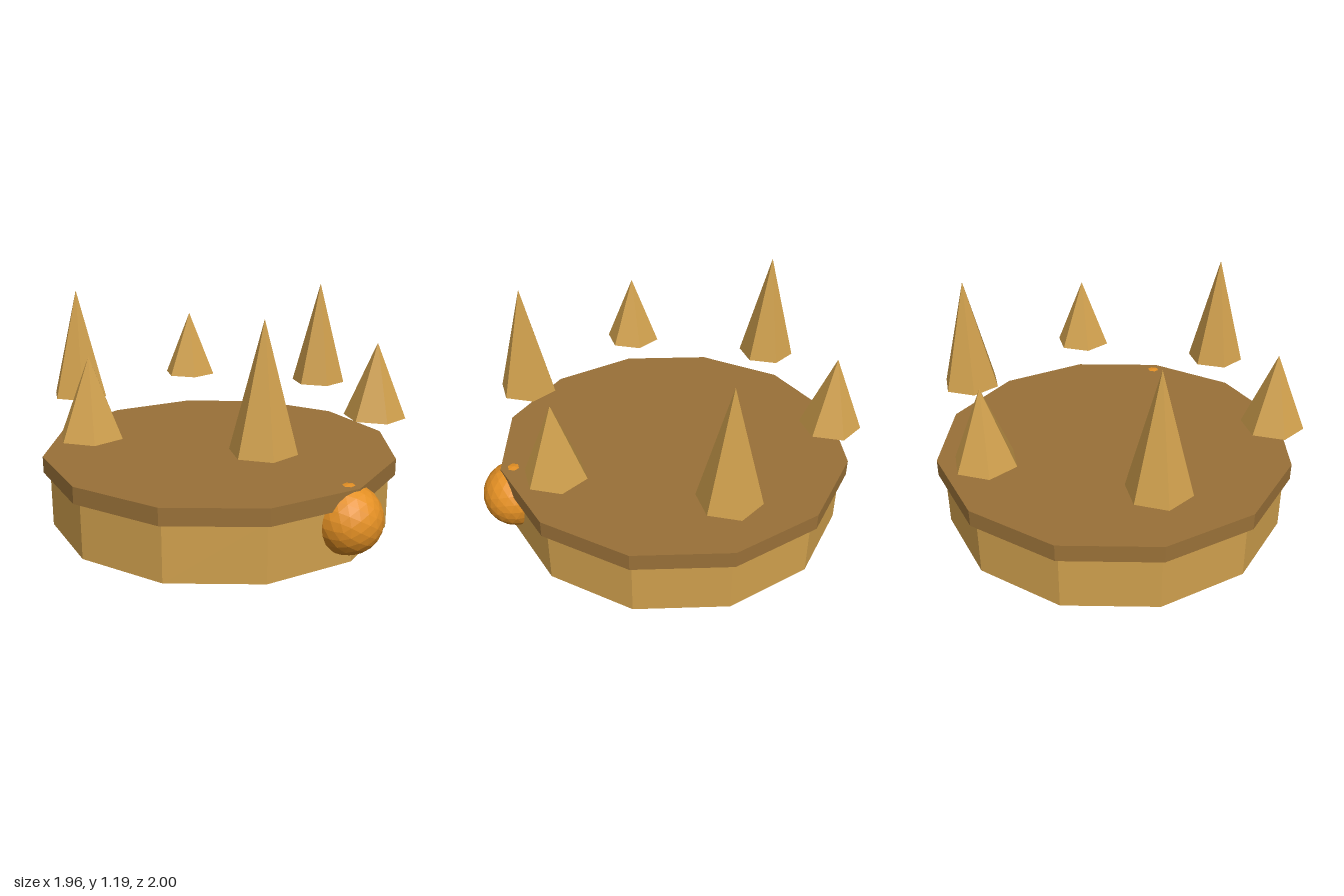
import * as THREE from 'three';

const CENTRE_Z = -0.054;

function material(name, color) {
  const m = new THREE.MeshStandardMaterial({ color, flatShading: true });
  m.name = name;
  return m;
}

export function createModel() {
  const model = new THREE.Group();
  model.name = 'crown';
  const gold = material('gold', 0xd0a04d);
  const bronze = material('bronze', 0x9a7138);
  const amber = material('amber', 0xe49024);

  function add(name, geometry, mat, x, y, z) {
    const mesh = new THREE.Mesh(geometry, mat);
    mesh.name = name;
    mesh.position.set(x, y, z);
    model.add(mesh);
    return mesh;
  }

  // Twelve-sided band with a slightly wider rim on top
  const bandHeight = 0.3;
  add('band', new THREE.CylinderGeometry(0.911, 0.911, bandHeight, 12), gold, 0, bandHeight / 2, CENTRE_Z);
  add('rim', new THREE.CylinderGeometry(0.946, 0.946, 0.087, 12), bronze, 0, 0.3375, CENTRE_Z);

  // Ring of six floating spikes, alternately tall and short
  for (let i = 0; i < 6; i++) {
    const angle = (i * Math.PI) / 3;
    const height = i % 2 === 0 ? 0.587 : 0.38;
    const spike = add(
      'spike' + (i + 1),
      new THREE.ConeGeometry(0.156, height, 6),
      gold,
      Math.cos(angle) * 0.824,
      0.601 + height / 2,
      CENTRE_Z + Math.sin(angle) * 0.824
    );
    spike.rotation.y = Math.PI / 6;
  }

  // Faceted jewel set into the front
  add('jewel', new THREE.IcosahedronGeometry(0.174, 3), amber, 0, 0.212, 0.825);

  return model;
}
